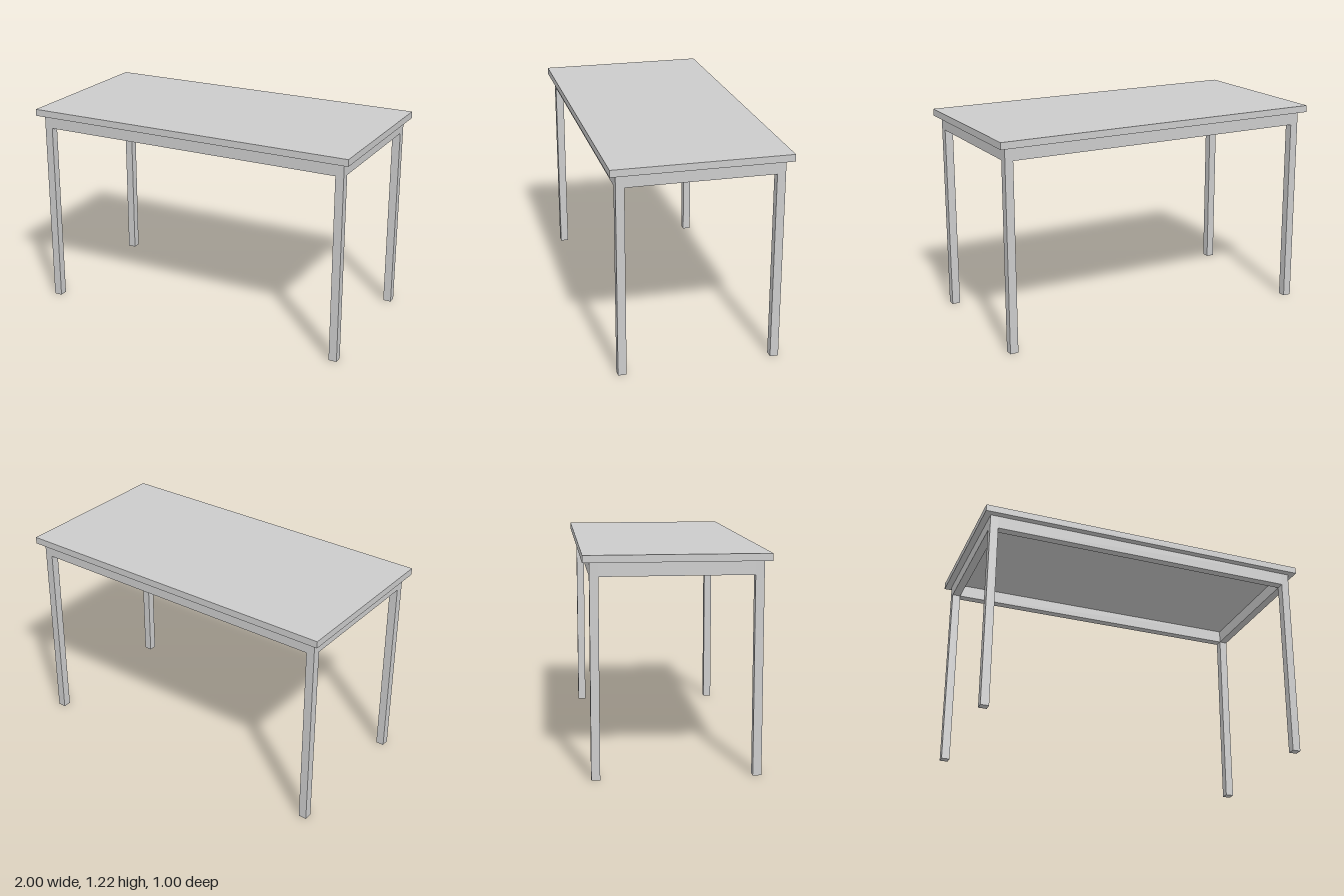
import * as THREE from 'three';

export function createModel() {
  const table = new THREE.Group();
  table.name = 'table';
  const material = new THREE.MeshStandardMaterial({ color: 0xcccccc, flatShading: true });

  const height = 1.217, underside = 1.177, apronBottom = 1.1;
  const legSize = 0.048;
  const legX = 0.963 - legSize / 2, legZ = 0.463 - legSize / 2;

  // Box standing on a given bottom height
  function addBox(name, w, h, d, x, bottom, z) {
    const mesh = new THREE.Mesh(new THREE.BoxGeometry(w, h, d), material);
    mesh.name = name;
    mesh.position.set(x, bottom + h / 2, z);
    table.add(mesh);
  }

  // Overhanging slab
  addBox('tabletop', 2, height - underside, 1, 0, underside, 0);

  // Square legs at the corners
  for (const sx of [-1, 1]) {
    for (const sz of [-1, 1]) {
      const name = (sz > 0 ? 'front' : 'back') + (sx > 0 ? 'Left' : 'Right') + 'Leg';
      addBox(name, legSize, underside, legSize, sx * legX, 0, sz * legZ);
    }
  }

  // Apron rails flush with the legs
  const railHeight = underside - apronBottom;
  for (const s of [-1, 1]) {
    addBox(s > 0 ? 'frontRail' : 'backRail',
      2 * legX - legSize, railHeight, legSize, 0, apronBottom, s * legZ);
    addBox(s > 0 ? 'leftRail' : 'rightRail',
      legSize, railHeight, 2 * legZ - legSize, s * legX, apronBottom, 0);
  }
  return table;
}
